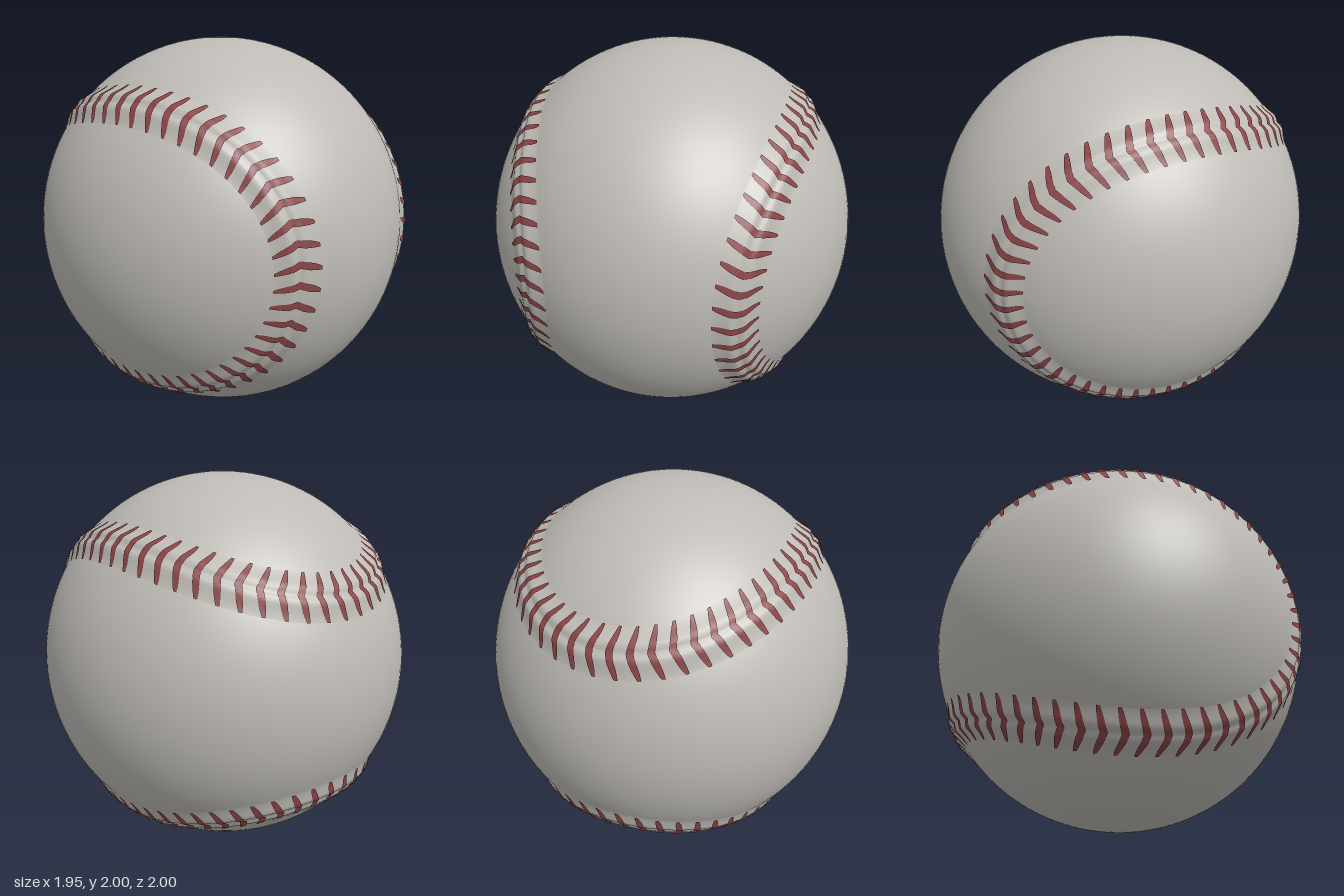
import * as THREE from 'three';
import { mergeVertices, mergeGeometries } from 'three/addons/utils/BufferGeometryUtils.js';

const SQUASH = new THREE.Vector3(0.975, 1, 1);
const STITCHES = 108;
const RIDGE_HALF = 0.15;

// Closed seam line on the unit sphere
class SeamCurve extends THREE.Curve {
  getPoint(u, target = new THREE.Vector3()) {
    const a = 0.755, b = 0.245, t = u * Math.PI * 2;
    return target.set(
      a * Math.cos(t) - b * Math.cos(3 * t),
      a * Math.sin(t) + b * Math.sin(3 * t),
      2 * Math.sqrt(a * b) * Math.cos(2 * t));
  }
}

const seam = new SeamCurve();
seam.arcLengthDivisions = 800;

// Raised welt with a fine groove down its middle
function weltHeight(s) {
  return 0.031 * Math.exp(-((s / 0.075) ** 2)) - 0.014 * Math.exp(-((s / 0.022) ** 2)) - 0.003;
}

// Point at arc fraction u, sideways angle s from the seam, lifted off the welt
function surfacePoint(u, s, lift = 0) {
  const w = ((u % 1) + 1) % 1;
  const c = seam.getPointAt(w).normalize();
  const side = c.clone().cross(seam.getTangentAt(w)).normalize();
  return c.multiplyScalar(Math.cos(s)).addScaledVector(side, Math.sin(s))
    .multiplyScalar(1 + weltHeight(s) + lift).multiply(SQUASH);
}

// Grid of quads from a point rule fn(i, j)
function gridGeometry(rows, cols, fn) {
  const pos = [], index = [];
  for (let i = 0; i <= rows; i++) {
    for (let j = 0; j <= cols; j++) {
      pos.push(...fn(i, j).toArray());
      if (i === rows || j === cols) continue;
      const a = i * (cols + 1) + j, b = a + cols + 1;
      index.push(a, b, a + 1, b, b + 1, a + 1);
    }
  }
  const g = new THREE.BufferGeometry();
  g.setAttribute('position', new THREE.Float32BufferAttribute(pos, 3));
  g.setIndex(index);
  return g;
}

// One V-shaped stitch across the seam, tapering to its ends
function stitchGeometry(u) {
  const cols = 14, half = 0.118, length = seam.getLength();
  return gridGeometry(2, cols, (i, j) => {
    const k = (j / cols) * 2 - 1;
    const width = 0.017 * (1 - 0.55 * Math.abs(k) ** 3);
    const along = 0.036 * (Math.abs(k) - 0.5) + (i - 1) * width;
    return surfacePoint(u + along / length, k * half, 0.005);
  });
}

export function createModel() {
  const leather = new THREE.MeshStandardMaterial({ color: 0xbebbb6 });
  leather.name = 'greyWhiteLeather';
  const thread = new THREE.MeshStandardMaterial({ color: 0x8a4446, side: THREE.DoubleSide });
  thread.name = 'redThread';

  const ball = new THREE.Group();
  ball.name = 'ball';
  ball.position.y = 1;
  const add = (name, geometry, material) => {
    const mesh = new THREE.Mesh(geometry, material);
    mesh.name = name;
    ball.add(mesh);
  };

  // Leather cover
  add('cover', new THREE.SphereGeometry(1, 128, 80).scale(...SQUASH.toArray()), leather);

  // Raised seam welt
  const rows = 540, cols = 24;
  const welt = mergeVertices(gridGeometry(rows, cols, (i, j) =>
    surfacePoint((i % rows) / rows, (j / cols * 2 - 1) * RIDGE_HALF)), 1e-5);
  welt.computeVertexNormals();
  add('seamWelt', welt, leather);

  // Stitches, evenly spaced along the seam
  const stitches = [];
  for (let i = 0; i < STITCHES; i++) stitches.push(stitchGeometry((i + 0.5) / STITCHES));
  const stitching = mergeGeometries(stitches);
  stitching.computeVertexNormals();
  add('stitching', stitching, thread);

  const model = new THREE.Group();
  model.name = 'stitchedBall';
  model.add(ball);
  return model;
}
